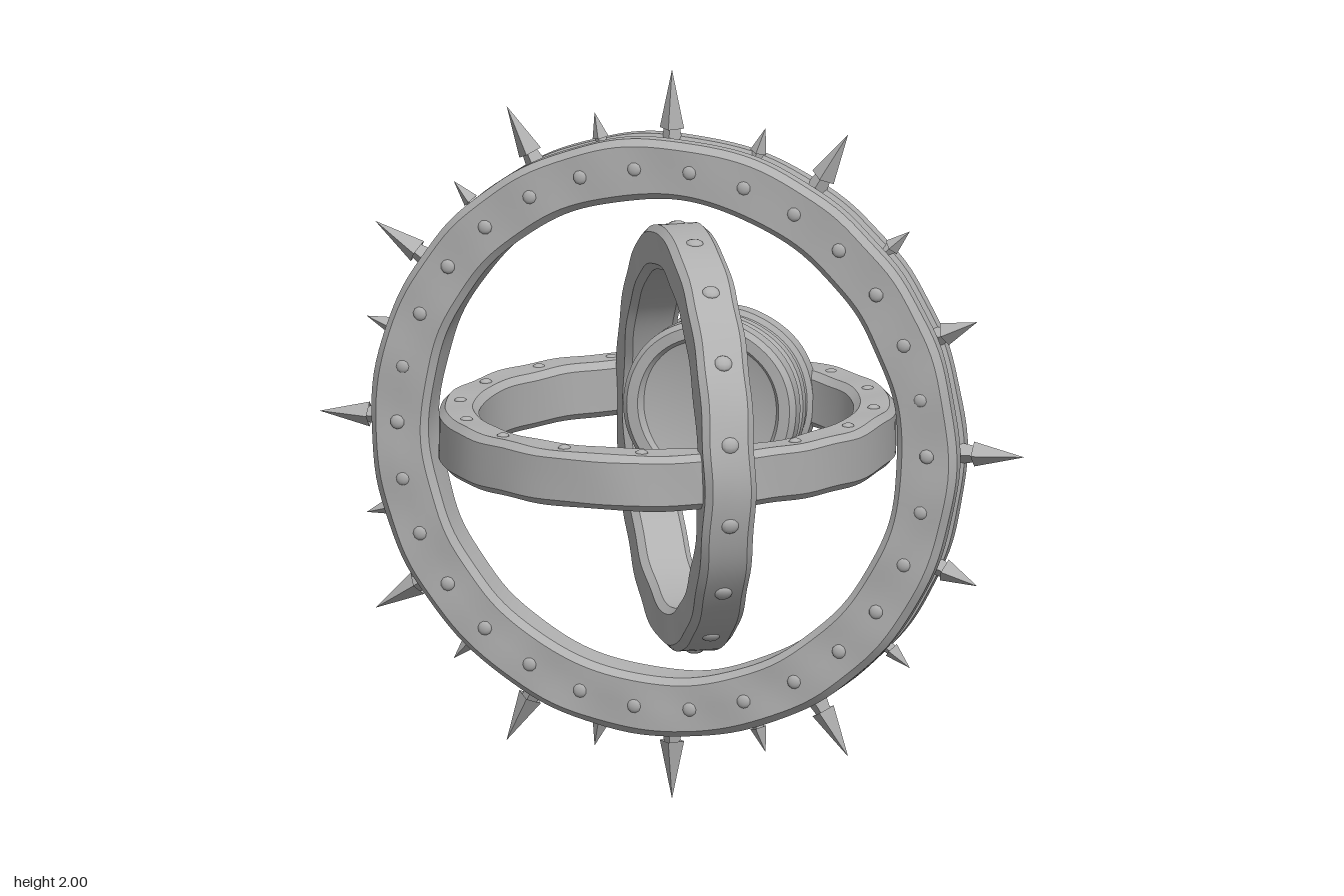
import * as THREE from 'three';
import { toCreasedNormals } from 'three/addons/utils/BufferGeometryUtils.js';

const iron = new THREE.MeshStandardMaterial({ color: 0xb0b0b0 });
iron.name = 'wrought iron';

function addMesh(parent, name, geometry) {
  const mesh = new THREE.Mesh(geometry, iron);
  mesh.name = name;
  parent.add(mesh);
  return mesh;
}

// Hammered unevenness: push vertices by a smooth wave of their position.
function hammer(geometry, amount) {
  const p = geometry.attributes.position;
  for (let i = 0; i < p.count; i++) {
    const x = p.getX(i), y = p.getY(i), z = p.getZ(i);
    const r = Math.hypot(x, z) || 1;
    const w = amount * Math.sin(17 * x + 5 * y) * Math.cos(19 * z - 9 * y);
    const v = amount * Math.sin(23 * z + 7 * r) * Math.cos(21 * x + 3);
    p.setXYZ(i, x + (w * x) / r, y + v, z + (w * z) / r);
  }
  return geometry;
}

// Lathe a profile of [radius, height] pairs, subdividing its long edges.
function turned(profile, segments, amount) {
  const points = [];
  profile.forEach(([r, h], i) => {
    points.push(new THREE.Vector2(r, h));
    const next = profile[i + 1];
    if (!next) return;
    const n = Math.ceil(Math.hypot(next[0] - r, next[1] - h) / 0.04);
    for (let k = 1; k < n; k++) {
      points.push(new THREE.Vector2(r + ((next[0] - r) * k) / n, h + ((next[1] - h) * k) / n));
    }
  });
  return toCreasedNormals(hammer(new THREE.LatheGeometry(points, segments), amount), 0.6);
}

// Closed, bevelled hoop section; extra points cut a groove in the outer face.
function hoopProfile(outer, inner, lo, hi, groove = []) {
  const b = 0.018;
  return [
    [outer - b, lo], [outer, lo + b], ...groove, [outer, hi - b], [outer - b, hi],
    [inner + b, hi], [inner, hi - b], [inner, lo + b], [inner + b, lo], [outer - b, lo],
  ];
}

// Rivets set around the y axis, facing along the given direction.
function addRivets(parent, name, count, radius, height, facing, size) {
  const geometry = new THREE.SphereGeometry(size, 10, 6);
  for (let i = 0; i < count; i++) {
    const a = ((i + 0.5) / count) * Math.PI * 2;
    const rivet = addMesh(parent, name, geometry);
    rivet.position.set(radius * Math.sin(a), height, radius * Math.cos(a));
    rivet.rotation.y = a;
    rivet.scale.set(1, 1, 1);
    rivet.scale[facing] = 0.5;
  }
}

// Four-sided spike with a narrow neck and a barbed head, starting inside the rim.
function spikeGeometry(tip, head, width) {
  const start = 0.78;
  const points = [
    [width * 1.0, start], [width * 0.6, tip - head + 0.012], [width, tip - head], [0, tip],
  ].map(([r, h]) => new THREE.Vector2(r, h));
  return toCreasedNormals(new THREE.LatheGeometry(points, 4), 0.3);
}

export function createModel() {
  const model = new THREE.Group();
  model.name = 'spiked armillary rings';

  // Large upright ring with a grooved rim
  const outerRing = new THREE.Group();
  outerRing.name = 'outerRing';
  outerRing.position.set(-0.003, 1.003, 0);
  outerRing.rotation.x = Math.PI / 2;
  model.add(outerRing);
  const groove = [[0.818, 0.01], [0.795, 0.022], [0.795, 0.034], [0.818, 0.046]];
  addMesh(outerRing, 'outerHoop', turned(hoopProfile(0.818, 0.655, -0.04, 0.096, groove), 160, 0.003));
  addRivets(outerRing, 'frontRivet', 30, 0.74, 0.094, 'y', 0.02);
  addRivets(outerRing, 'backRivet', 30, 0.74, -0.038, 'y', 0.024);

  // Raised collars around every second back rivet
  const collar = new THREE.TorusGeometry(0.03, 0.006, 6, 14).rotateX(Math.PI / 2);
  for (let i = 0; i < 30; i += 2) {
    const a = ((i + 0.5) / 30) * Math.PI * 2;
    addMesh(outerRing, 'rivetCollar', collar).position.set(0.74 * Math.sin(a), -0.04, 0.74 * Math.cos(a));
  }

  // Spikes: angles in degrees from +x, going counter-clockwise
  const spikes = new THREE.Group();
  spikes.name = 'spikes';
  spikes.position.set(0, 1, 0.01);
  model.add(spikes);
  const spikeSets = [
    ['longSpike', spikeGeometry(0.985, 0.14, 0.034), [0, 60, 118, 147.4, 180, 212.6, 242, 300]],
    ['poleSpike', spikeGeometry(1.0, 0.16, 0.034), [90, 270]],
    ['sideSpike', spikeGeometry(0.927, 0.1, 0.032), [23, -23]],
    ['shortSpike', spikeGeometry(0.895, 0.07, 0.023), [42, 73, 104, 133, 162.5, 197.5, 227, 256, 287, 318]],
  ];
  for (const [name, geometry, angles] of spikeSets) {
    for (const angle of angles) {
      addMesh(spikes, name, geometry).rotation.z = THREE.MathUtils.degToRad(angle - 90);
    }
  }

  // Level ring, slightly longer front to back
  const levelRing = new THREE.Group();
  levelRing.name = 'levelRing';
  levelRing.position.set(-0.017, 1.005, 0);
  levelRing.scale.set(0.956, 1, 1.044);
  model.add(levelRing);
  addMesh(levelRing, 'levelHoop', turned(hoopProfile(0.635, 0.52, -0.076, 0.076), 128, 0.003));
  addRivets(levelRing, 'levelRivet', 16, 0.578, 0.074, 'y', 0.018);

  // Upright ring turned away from the front
  const turnedRing = new THREE.Group();
  turnedRing.name = 'turnedRing';
  turnedRing.position.set(0.05, 1.003, 0.047);
  turnedRing.rotation.y = 2.06;
  turnedRing.scale.set(1.04, 0.95, 1);
  model.add(turnedRing);
  const upright = new THREE.Group();
  upright.name = 'turnedRingBody';
  upright.rotation.x = Math.PI / 2;
  turnedRing.add(upright);
  addMesh(upright, 'turnedHoop', turned(hoopProfile(0.6, 0.475, -0.07, 0.07), 128, 0.003));
  addRivets(upright, 'turnedRivet', 16, 0.597, 0, 'z', 0.024);

  // Drum behind the centre with flanged rims and dished faces
  const drum = new THREE.Group();
  drum.name = 'drum';
  drum.position.set(0.012, 1.005, -0.4);
  drum.rotation.x = Math.PI / 2;
  model.add(drum);
  const half = [
    [0.228, 0.022], [0.228, 0.05], [0.242, 0.058], [0.242, 0.1], [0.228, 0.114],
    [0.198, 0.114], [0.186, 0.096],
  ];
  const lower = half.map(([r, h]) => [r, -h]).reverse();
  const waist = [[0.236, -0.014], [0.236, 0.014]];
  addMesh(drum, 'drumBody', turned([...lower, ...waist, ...half], 72, 0.002));
  const dish = new THREE.LatheGeometry(
    [[0.19, 0.098], [0.14, 0.086], [0.07, 0.078], [0, 0.075]].map(([r, h]) => new THREE.Vector2(r, h)), 48);
  addMesh(drum, 'frontDish', dish);
  addMesh(drum, 'backDish', dish).rotation.x = Math.PI;

  return model;
}
